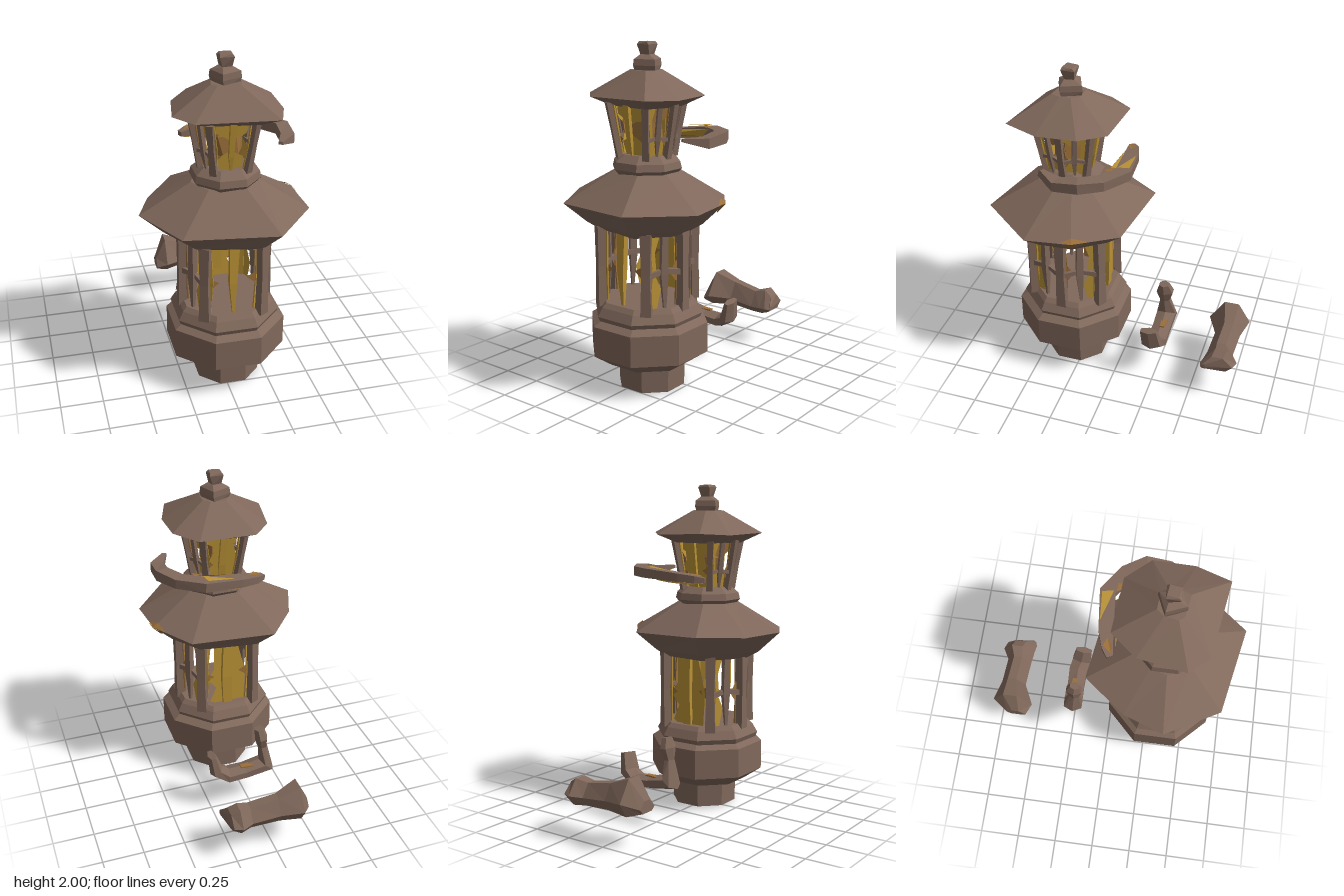
import * as THREE from 'three';

const mat = (name, color, side = THREE.FrontSide) => {
  const m = new THREE.MeshStandardMaterial({ color, flatShading: true, side });
  m.name = name;
  return m;
};

export function createModel() {
  const stone = mat('brown stone', 0x80685b);
  const gold = mat('gold glass', 0xba9236, THREE.DoubleSide);
  const amber = mat('amber glass', 0x9a6f3a, THREE.DoubleSide);
  const root = new THREE.Group();
  root.name = 'brokenLantern';
  const CX = 0.02, CZ = 0.325;

  const add = (name, verts, material, parent = root) => {
    const g = new THREE.BufferGeometry();
    g.setAttribute('position', new THREE.Float32BufferAttribute(verts.flat(), 3));
    g.computeVertexNormals();
    const mesh = new THREE.Mesh(g, material);
    mesh.name = name;
    parent.add(mesh);
  };

  // Flat polygon fanned from its first corner
  const plate = (name, p, material, parent) => {
    const v = [];
    for (let i = 1; i + 1 < p.length; i++) v.push(p[0], p[i + 1], p[i]);
    add(name, v, material, parent);
  };

  // Skin over a stack of rings with equal point counts, closed at both ends
  const loft = (name, rings, material, parent) => {
    const v = [], n = rings[0].length;
    for (let k = 0; k + 1 < rings.length; k++) for (let i = 0; i < n; i++) {
      const a = rings[k], b = rings[k + 1], j = (i + 1) % n;
      v.push(a[i], b[i], a[j], a[j], b[i], b[j]);
    }
    const lo = rings[0], hi = rings[rings.length - 1];
    for (let i = 1; i + 1 < n; i++) v.push(lo[0], lo[i], lo[i + 1], hi[0], hi[i + 1], hi[i]);
    add(name, v, material, parent);
  };

  // Skin along a path of [x, y, z, halfSizeAlongRef, halfSizeAcross]
  const sweep = (name, path, ref, sides, material, parent) => {
    const P = path.map(p => new THREE.Vector3(p[0], p[1], p[2]));
    const rings = path.map((p, k) => {
      const T = P[Math.min(k + 1, P.length - 1)].clone().sub(P[Math.max(k - 1, 0)]).normalize();
      const S = T.clone().cross(ref).normalize(), N = S.clone().cross(T);
      return Array.from({ length: sides }, (_, i) => {
        const t = (i + 0.5) / sides * Math.PI * 2;
        return P[k].clone().addScaledVector(N, p[3] * Math.cos(t))
          .addScaledVector(S, -p[4] * Math.sin(t)).toArray();
      });
    });
    loft(name, rings, material, parent);
  };
  const Y = new THREE.Vector3(0, 1, 0), Z = new THREE.Vector3(0, 0, 1);

  const ring = (n, r, y, phase, cx = CX, cz = CZ) => Array.from({ length: n }, (_, i) => {
    const a = (i + phase) * Math.PI * 2 / n;
    return [cx + r * Math.cos(a), y, cz + r * Math.sin(a)];
  });
  const oct = (r, y, cx) => ring(8, r, y, 0.5, cx);
  const scaled = (plan, s, y, dy = 0) => plan.map(([x, z], i) =>
    [CX + (x - CX) * s, y + (i % 2 ? dy : -dy), CZ + (z - CZ) * s]);

  // Foot, drum and stepped plinth
  loft('foot', [ring(8, 0.2, 0, 0.5, 0.035, 0.315), ring(8, 0.205, 0.16, 0.5, 0.035, 0.315)], stone);
  loft('drum', [oct(0.25, 0.15, 0.025), oct(0.355, 0.22, 0.025),
    oct(0.355, 0.4, 0.025), oct(0.31, 0.43, 0.025)], stone);
  loft('plinth', [oct(0.31, 0.42), oct(0.325, 0.455), oct(0.295, 0.505), oct(0.27, 0.53)], stone);

  // Irregular eight-sided roofs
  const mainPlan = [[0.48, 0.46], [0.22, 0.78], [-0.3, 0.68], [-0.48, 0.36],
    [-0.39, 0.12], [-0.2, -0.13], [0.29, -0.06], [0.46, 0.18]];
  const topPlan = [[0.32, 0.42], [0.25, 0.62], [-0.2, 0.55], [-0.3, 0.44],
    [-0.25, 0.16], [-0.13, 0.01], [0.2, 0.04], [0.32, 0.18]];
  loft('mainRoof', [scaled(mainPlan, 0.56, 0.945), scaled(mainPlan, 0.72, 0.99),
    scaled(mainPlan, 1, 1.11, 0.007), scaled(mainPlan, 0.4, 1.28)], stone);
  loft('collar', [oct(0.17, 1.26), oct(0.205, 1.3), oct(0.195, 1.34), oct(0.145, 1.38)], stone);
  loft('upperRoof', [scaled(topPlan, 0.62, 1.65), scaled(topPlan, 1, 1.705, 0.005),
    scaled(topPlan, 0.28, 1.845)], stone);

  // Amber stain wrapping the roof rim
  plate('rimStainBelow', [[0.464, 1.114, 0.179], [0.413, 1.109, 0.105], [0.416, 1.06, 0.195],
    [0.471, 1.109, 0.264]], amber);
  plate('rimStainAbove', [[0.463, 1.12, 0.178], [0.405, 1.116, 0.093], [0.432, 1.142, 0.188],
    [0.468, 1.119, 0.25]], amber);

  // Crowning knob
  const square = (r, y, t) => ring(4, r, y, t, CX, CZ - 0.01);
  loft('finial', [square(0.075, 1.82, 0.2), square(0.09, 1.87, 0.25), square(0.085, 1.905, 0.25),
    square(0.04, 1.93, 0.4), square(0.058, 1.985, 0.5), square(0.045, 2, 0.6)], stone);

  // Six-sided cage, broad at front and back: posts, mullions, rails, torn glass
  const corners = [[1, 0], [0.66, 0.86], [-0.66, 0.86], [-1, 0], [-0.66, -0.86], [0.66, -0.86]];
  function cage(name, y0, y1, r0, r1, thick, railAt) {
    const g = new THREE.Group();
    g.name = name;
    root.add(g);
    // Point on face f: u runs across the face, h up it, k scales the radius
    const on = (f, u, h, k = 1) => {
      const r = (r0 + (r1 - r0) * h) * k, a = corners[f], b = corners[(f + 1) % 6];
      return [CX + r * (a[0] + (b[0] - a[0]) * u), y0 + (y1 - y0) * h, CZ + r * (a[1] + (b[1] - a[1]) * u)];
    };
    const shard = (f, pts, m, k = 0.95) =>
      plate('glassShard', pts.map(([u, h]) => on(f, u, h, k)), m, g);
    const w = thick * 0.75;
    for (let f = 0; f < 6; f++) {
      const dir = a => new THREE.Vector3(Math.cos(a), 0, Math.sin(a));
      const out = dir(f * Math.PI / 3), mid = dir((f + 0.5) * Math.PI / 3);
      sweep('post', [[...on(f, 0, 0), thick, thick * 1.3], [...on(f, 0, 0.5), thick * 0.9, thick],
        [...on(f, 0, 1), thick, thick * 1.3]], out, 4, stone, g);
      // Glass left clinging to the inside of the post
      sweep('postLining', [[...on(f, 0.03, 0, 0.88), 0.006, thick], [...on(f, -0.03, 0.5, 0.88), 0.006, thick * 1.3],
        [...on(f, 0.02, 1, 0.88), 0.006, thick]], out, 4, f % 3 ? gold : amber, g);
      const front = f === 1, back = f === 4;
      sweep('mullion', [[...on(f, 0.5, 0), w * 0.4, w * (back ? 1.6 : 0.3)],
        [...on(f, 0.52, railAt), w, w * (back ? 1.8 : 1.2)],
        [...on(f, 0.5, 1), w, w * (front || back ? 1.6 : 1)]], mid, 4, front || back ? gold : stone, g);
      if (front || back) {
        // Snapped rail ends
        shard(f, [[0, railAt - 0.1], [0.26, railAt + 0.04], [0, railAt + 0.14]], amber);
        shard(f, [[1, railAt - 0.12], [0.76, railAt], [1, railAt + 0.1]], amber);
      } else {
        sweep('rail', [[...on(f, 0, railAt, 0.98), w, w], [...on(f, 0.5, railAt + 0.04, 0.95), w * 0.7, w * 0.7],
          [...on(f, 1, railAt, 0.98), w, w]], Y, 4, stone, g);
        // Panes survive beside the front and back posts
        const s = f === 0 || f === 3 ? u => 1 - u : u => u;
        const side = (pts, m, k) => shard(f, pts.map(([u, h]) => [s(u), h]), m, k);
        side([[0, 0], [0.3, 0.04], [0.42, 0.3], [0.25, railAt], [0, railAt]], gold);
        side([[0, railAt], [0.3, railAt], [0.25, 0.75], [0.42, 1], [0, 1]], gold);
        side([[0.98, railAt - 0.2], [0.98, railAt + 0.25], [0.68, railAt]], amber);
      }
      if (back) shard(f, [[0.16, 0.05], [0.6, 0], [0.85, 0.1], [0.72, 0.3], [0.9, 0.45],
        [0.76, 0.6], [0.76, 1], [0.28, 0.95], [0.12, 0.5]], gold);
    }
    return { g, shard };
  }
  cage('lowerCage', 0.5, 0.97, 0.255, 0.255, 0.034, 0.48);
  const upper = cage('upperCage', 1.36, 1.67, 0.145, 0.2, 0.022, 0.35);

  // Cracked light block and fuller glass inside the upper cage
  sweep('lightBlock', [[CX, 1.38, CZ, 0.05, 0.05], [CX + 0.01, 1.45, CZ, 0.095, 0.085],
    [CX - 0.01, 1.56, CZ, 0.09, 0.105], [CX, 1.63, CZ, 0.06, 0.06]], Z, 6, amber, upper.g);
  for (let f = 0; f < 6; f++) {
    upper.shard(f, [[0.08, 0.05], [0.85, 0], [0.95, 0.3], [0.5, 0.42], [0.1, 0.3]], gold, 0.82);
    upper.shard(f, [[0.1, 0.75], [0.5, 0.62], [0.95, 0.8], [0.9, 1], [0.05, 1]], f % 3 ? gold : amber, 0.84);
  }

  // Broken balcony ring, torn away towards the back
  sweep('brokenRing', [[-0.17, 1.44, 0.01, 0.02, 0.025], [-0.12, 1.445, -0.01, 0.03, 0.045],
    [-0.02, 1.455, -0.03, 0.035, 0.06], [0.2, 1.475, -0.05, 0.04, 0.065], [0.33, 1.475, 0.04, 0.04, 0.06],
    [0.4, 1.48, 0.15, 0.045, 0.055], [0.395, 1.465, 0.28, 0.04, 0.055], [0.32, 1.485, 0.39, 0.012, 0.018]],
  Y, 4, stone);
  // Glass stuck to the top, inside and underside of the ring
  plate('ringTopGlass', [[0.02, 1.494, -0.07], [0.19, 1.512, -0.08], [0.2, 1.512, -0.015], [0.15, 1.505, -0.03]], gold);
  plate('ringTopAmber', [[-0.155, 1.462, 0.015], [-0.12, 1.474, -0.035], [-0.07, 1.478, -0.015], [-0.11, 1.476, 0.015]], amber);
  plate('ringEndAmber', [[0.2, 1.51, 0], [0.25, 1.512, 0.005], [0.25, 1.51, 0.05], [0.22, 1.505, 0.04]], amber);
  sweep('ringUndersideGlass', [[-0.15, 1.424, 0.01, 0.005, 0.02], [-0.07, 1.419, -0.015, 0.006, 0.035],
    [0.04, 1.428, -0.035, 0.006, 0.045], [0.13, 1.438, -0.04, 0.006, 0.03]], Y, 4, gold);
  plate('ringInnerGlass', [[-0.1, 1.44, 0.035], [0.18, 1.45, 0.012], [0.24, 1.5, 0.03], [0, 1.475, 0.02]], gold);

  // Fragments that broke off behind the lantern
  sweep('railFragment', [[-0.07, 0.53, -0.235, 0.035, 0.03], [-0.08, 0.47, -0.24, 0.06, 0.04],
    [-0.09, 0.4, -0.24, 0.035, 0.03], [-0.11, 0.27, -0.25, 0.07, 0.06], [0.03, 0.245, -0.25, 0.065, 0.04],
    [0.14, 0.24, -0.25, 0.07, 0.04], [0.21, 0.28, -0.235, 0.07, 0.045],
    [0.235, 0.39, -0.22, 0.06, 0.025]], Z, 6, stone);
  sweep('fragmentGlass', [[-0.02, 0.286, -0.26, 0.006, 0.03], [0.06, 0.286, -0.26, 0.006, 0.02]], Y, 4, amber);
  // Roof chunk as cross-sections of [x, bottom, top, back, front]
  loft('roofFragment', [[-0.22, 0.21, 0.28, -0.69, -0.56], [-0.155, 0.2, 0.41, -0.785, -0.525],
    [-0.02, 0.21, 0.36, -0.75, -0.59], [0.15, 0.2, 0.33, -0.74, -0.58], [0.22, 0.2, 0.35, -0.78, -0.57],
    [0.27, 0.22, 0.32, -0.76, -0.56], [0.3, 0.24, 0.27, -0.6, -0.57]].map(([x, lo, hi, b, f]) => {
    const at = (u, v) => [x, lo + (hi - lo) * v, b + (f - b) * u];
    return [at(0.65, 1), at(0.3, 1), at(0, 0.4), at(0.2, 0), at(0.8, 0), at(1, 0.3)];
  }), stone);
  return root;
}
